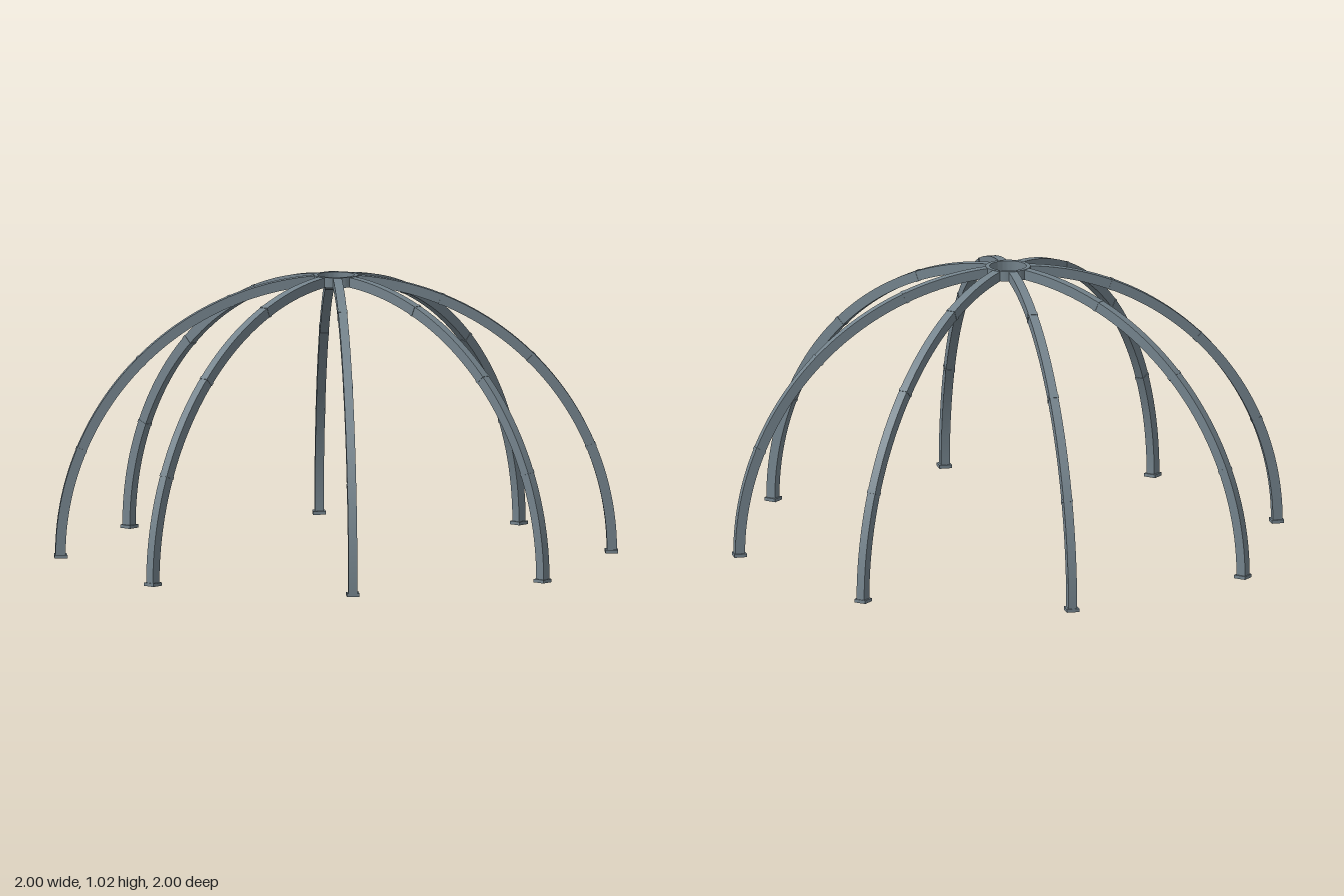
import * as THREE from 'three';
import { toCreasedNormals } from 'three/addons/utils/BufferGeometryUtils.js';

const RIBS = 8;
const TURN = -12.4 * Math.PI / 180; // direction of the first rib
const R = 0.996;                    // centre line radius of a rib
const THICK = 0.036;                // radial depth of a rib
const WIDTH = 0.032;
const PLATE = 0.012;                // height of a base plate

// Curved bar between two angles, standing in the XY plane
function arcBar(from, to, thick, width, segments) {
  const shape = new THREE.Shape();
  shape.absarc(0, 0, R + thick / 2, from, to, false);
  shape.absarc(0, 0, R - thick / 2, to, from, true);
  shape.closePath();
  const geo = new THREE.ExtrudeGeometry(shape, { depth: width, bevelEnabled: false, curveSegments: segments });
  geo.translate(0, PLATE * 0.8, -width / 2);
  return toCreasedNormals(geo, Math.PI / 6);
}

export function createModel() {
  const model = new THREE.Group();
  model.name = 'domeFrame';
  const steel = new THREE.MeshStandardMaterial({ color: 0x74838c });
  steel.name = 'blue grey steel';

  const add = (parent, name, geo) => {
    const mesh = new THREE.Mesh(geo, steel);
    mesh.name = name;
    parent.add(mesh);
    return mesh;
  };

  // Shared geometry for one rib: curved beam, splice collars and foot
  const beamGeo = arcBar(0, Math.acos(0.072 / R), THICK, WIDTH, 32);
  const collarGeos = [1, 2, 3].map(i => {
    const a = i * Math.PI / 8;
    return arcBar(a - 0.006, a + 0.006, THICK + 0.003, WIDTH + 0.003, 1);
  });
  const plateGeo = new THREE.BoxGeometry(0.046, PLATE, 0.046);

  for (let i = 0; i < RIBS; i++) {
    const rib = new THREE.Group();
    rib.name = 'rib' + (i + 1);
    rib.rotation.y = TURN + i * Math.PI * 2 / RIBS;
    add(rib, 'curvedBeam', beamGeo);
    collarGeos.forEach(geo => add(rib, 'spliceCollar', geo));
    add(rib, 'basePlate', plateGeo).position.set(R - 0.001, PLATE / 2, 0);
    model.add(rib);
  }

  // Crown ring joining the ribs at the top
  const ring = new THREE.Shape().absarc(0, 0, 0.081, 0, Math.PI * 2, false);
  ring.holes.push(new THREE.Path().absarc(0, 0, 0.066, 0, Math.PI * 2, true));
  const ringGeo = new THREE.ExtrudeGeometry(ring, { depth: 0.037, bevelEnabled: false, curveSegments: 32 });
  ringGeo.rotateX(-Math.PI / 2);
  add(model, 'crownRing', toCreasedNormals(ringGeo, Math.PI / 6)).position.y = 0.985;

  return model;
}
